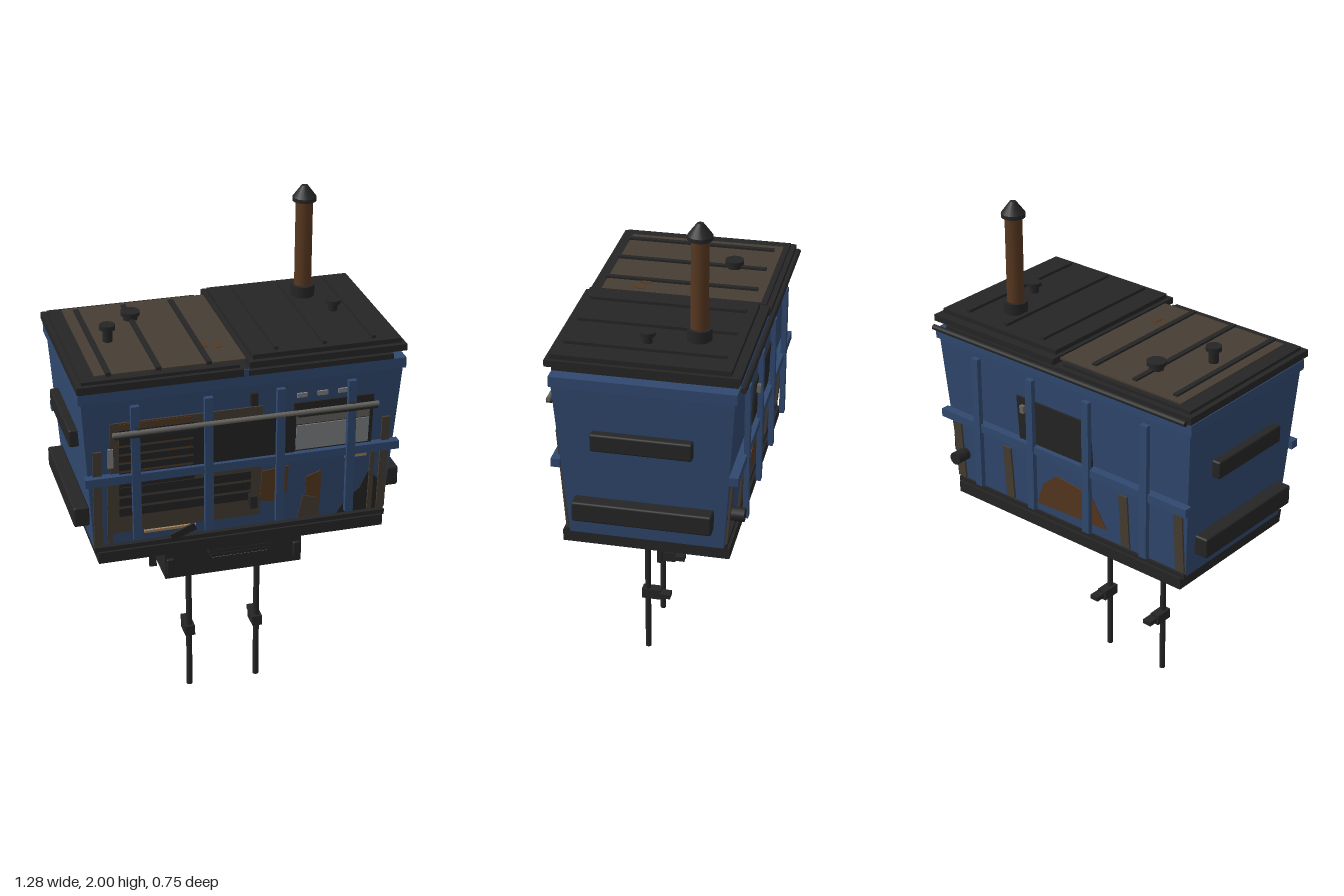
import * as THREE from 'three';
import { RoundedBoxGeometry } from 'three/addons/geometries/RoundedBoxGeometry.js';

const mat = (name, color) => {
  const m = new THREE.MeshStandardMaterial({ color });
  m.name = name;
  return m;
};

export function createModel() {
  const root = new THREE.Group();
  root.name = 'containerCabin';
  const blue = mat('blue paint', 0x30486f);
  const black = mat('black metal', 0x252525);
  const brown = mat('weathered board', 0x463d33);
  const rust = mat('rust', 0x573820);
  const grey = mat('grey glass', 0x7f8284);
  const steel = mat('dull steel', 0x66645f);
  const tan = mat('tan wood', 0xa5835a);

  const add = (name, geo, m, x = 0, y = 0, z = 0) => {
    const mesh = new THREE.Mesh(geo, m);
    mesh.name = name;
    mesh.position.set(x, y, z);
    root.add(mesh);
    return mesh;
  };
  // Box given by its limits on each axis
  const box = (name, m, x0, x1, y0, y1, z0, z1) =>
    add(name, new THREE.BoxGeometry(x1 - x0, y1 - y0, z1 - z0), m, (x0 + x1) / 2, (y0 + y1) / 2, (z0 + z1) / 2);
  const tube = (name, m, x, z, y0, y1, r0, r1 = r0, n = 16) =>
    add(name, new THREE.CylinderGeometry(r1, r0, y1 - y0, n), m, x, (y0 + y1) / 2, z);

  // Sloping walls: z of the front or back face at a height
  const wallZ = (side, y) => {
    const t = (y - 0.81) / 0.64;
    return side > 0 ? 0.28 + 0.045 * t : -0.3 - 0.042 * t;
  };
  const slope = Math.atan(0.045 / 0.64);
  // Panel lying on a sloping wall, standing out by d
  const panel = (name, m, side, x0, x1, y0, y1, d = 0.006) => {
    const y = (y0 + y1) / 2;
    const p = add(name, new THREE.BoxGeometry(x1 - x0, y1 - y0, 0.008), m, (x0 + x1) / 2, y, wallZ(side, y) + side * (d - 0.004));
    p.rotation.x = side * slope;
    return p;
  };
  // Flat ragged patch on a wall
  const patch = (name, m, side, pts, d = 0.005) => {
    const geo = new THREE.ExtrudeGeometry(new THREE.Shape(pts.map(p => new THREE.Vector2(p[0], p[1] - 1))), { depth: 0.004, bevelEnabled: false });
    const p = add(name, geo, m, 0, 1, wallZ(side, 1) + side * d - 0.004);
    p.rotation.x = side * slope;
  };

  // Tapered tub
  const tub = new THREE.BoxGeometry(1, 0.64, 1);
  const pos = tub.attributes.position;
  for (let i = 0; i < pos.count; i++) {
    const y = pos.getY(i) + 1.13;
    pos.setX(i, Math.sign(pos.getX(i)) * (y > 1.13 ? 0.61 : 0.57));
    pos.setZ(i, wallZ(Math.sign(pos.getZ(i)), y));
  }
  tub.computeVertexNormals();
  add('body', tub, blue, 0, 1.13, 0);
  box('topRim', blue, -0.62, 0.62, 1.435, 1.476, -0.35, 0.33);
  box('baseTray', black, -0.56, 0.56, 0.76, 0.805, -0.32, 0.31);
  box('baseLip', black, -0.57, 0.57, 0.8, 0.822, -0.31, 0.3);

  // Lids with ribs
  box('lidSeat', black, -0.615, 0.57, 1.476, 1.496, -0.345, 0.33);
  box('lidFrame', black, -0.625, -0.01, 1.484, 1.512, -0.36, 0.345);
  box('lidTop', black, -0.605, -0.02, 1.512, 1.524, -0.34, 0.328);
  box('lidBoard', brown, -0.55, 0.012, 1.522, 1.53, -0.32, 0.295);
  box('lidFrame', black, 0.012, 0.615, 1.512, 1.537, -0.36, 0.345);
  box('lidTop', black, 0.028, 0.6, 1.537, 1.555, -0.325, 0.325);
  for (const x of [-0.5, -0.315, -0.127]) box('lidRib', black, x - 0.01, x + 0.01, 1.525, 1.538, -0.29, 0.3);
  for (const x of [0.125, 0.31, 0.5]) box('lidRib', black, x - 0.008, x + 0.008, 1.55, 1.566, -0.29, 0.3);
  const hinge = add('hingeRod', new THREE.CylinderGeometry(0.011, 0.011, 1.22, 10), black, 0, 1.49, -0.37);
  hinge.rotation.z = Math.PI / 2;
  patch('lidSeam', blue, 1, [[-0.01, 1.476], [0.01, 1.476], [0.01, 1.51], [-0.01, 1.51]], 0.012);
  for (const [x, z] of [[-0.11, 0.14], [-0.06, 0.155]]) box('lidRust', rust, x - 0.012, x + 0.012, 1.53, 1.532, z - 0.02, z + 0.02);

  // Chimney and vents
  tube('chimneyCollar', black, 0.37, -0.165, 1.55, 1.6, 0.046);
  tube('chimney', rust, 0.37, -0.165, 1.59, 1.95, 0.033);
  tube('chimneyCap', black, 0.37, -0.165, 1.94, 1.955, 0.046);
  tube('chimneyCone', black, 0.37, -0.165, 1.955, 2, 0.046, 0.012);
  tube('ventPipe', black, -0.44, 0.01, 1.525, 1.58, 0.019);
  tube('ventCap', black, -0.44, 0.01, 1.578, 1.596, 0.03);
  tube('roofKnob', black, -0.315, -0.165, 1.525, 1.55, 0.028);
  tube('roofKnobCap', black, -0.315, -0.165, 1.548, 1.563, 0.037);
  tube('ventPipe', black, 0.435, 0.01, 1.55, 1.585, 0.018);
  tube('ventCap', black, 0.435, 0.01, 1.583, 1.598, 0.029);

  // Outer rails on front and back
  for (const s of [1, -1]) {
    const zv = s > 0 ? 0.334 : -0.353;
    for (const x of [-0.415, -0.14, 0.135, 0.41])
      box('uprightBar', blue, x - 0.016, x + 0.016, 0.86, 1.412, zv - 0.01, zv + 0.01);
    const zh = s > 0 ? 0.318 : -0.338;
    box('crossRail', blue, -0.605, 0.605, 1.1, 1.133, zh - 0.017, zh + 0.017);
  }

  // Lifting pockets on both ends
  for (const s of [-1, 1]) {
    add('upperPocket', new RoundedBoxGeometry(0.04, 0.07, 0.375, 2, 0.008), black, s * 0.612, 1.23, -0.005);
    add('lowerPocket', new RoundedBoxGeometry(0.06, 0.08, 0.52, 2, 0.008), black, s * 0.608, 0.937, -0.005);
  }

  // Front: boarded shutter, window and glass
  panel('frontBoard', brown, 1, -0.505, 0.07, 0.87, 1.345);
  panel('shutterBack', rust, 1, -0.475, -0.2, 1.07, 1.34, 0.008);
  for (let i = 0; i < 7; i++) panel('shutterSlat', black, 1, -0.475, -0.19, 1.075 + i * 0.036, 1.102 + i * 0.036, 0.016);
  for (let i = 0; i < 3; i++) panel('lowerSlat', black, 1, -0.475, 0.03, 0.945 + i * 0.045, 0.98 + i * 0.045, 0.012);
  panel('frontWindow', black, 1, -0.195, 0.195, 1.1, 1.305, 0.016);
  panel('glassFrame', black, 1, 0.19, 0.5, 1.13, 1.34, 0.01);
  panel('frontGlass', grey, 1, 0.2, 0.485, 1.14, 1.245, 0.014);
  panel('upperGlass', steel, 1, 0.2, 0.485, 1.25, 1.3, 0.014);
  for (const x of [0.2, 0.28, 0.36]) panel('glassTab', grey, 1, x, x + 0.04, 1.36, 1.378);
  panel('sidePeg', grey, 1, -0.515, -0.495, 1.16, 1.24, 0.01);
  for (const y of [0.95, 1.38]) box('latch', black, 0.02, 0.048, y - 0.025, y + 0.025, 0.29, 0.338);
  panel('sill', tan, 1, -0.38, -0.18, 0.858, 0.868, 0.012);
  panel('sill', tan, 1, 0.4, 0.485, 1.075, 1.09, 0.012);
  const lever = panel('bentLever', black, 1, -0.28, -0.18, 0.828, 0.858, 0.02);
  lever.rotation.z = 0.4;
  const rail = add('awningRail', new THREE.CylinderGeometry(0.009, 0.009, 1.01, 10), steel, 0, 1.32, 0.365);
  rail.rotation.z = Math.PI / 2;
  for (const s of [-1, 1]) {
    box('railStrip', black, s * 0.345 - 0.155, s * 0.345 + 0.155, 1.304, 1.312, 0.352, 0.374);
    box('railBracket', black, s * 0.41 - 0.008, s * 0.41 + 0.008, 1.305, 1.33, 0.31, 0.365);
  }

  // Worn patches and corner boards
  patch('rustPatch', rust, 1, [[0.07, 0.93], [0.12, 0.92], [0.175, 0.95], [0.18, 1.07], [0.075, 1.06]]);
  patch('rustPatch', rust, 1, [[0.25, 0.9], [0.31, 0.88], [0.31, 1.03], [0.25, 1.01]]);
  patch('wornPatch', brown, 1, [[0.22, 0.83], [0.31, 0.83], [0.3, 0.91], [0.24, 0.93]], 0.009);
  patch('darkPatch', black, 1, [[0.38, 0.825], [0.54, 0.825], [0.55, 0.95], [0.5, 1.0], [0.47, 0.93], [0.42, 0.89]]);
  for (const s of [-1, 1]) {
    panel('cornerBoard', brown, 1, s * 0.555 - 0.016, s * 0.555 + 0.016, 0.83, 1.235, 0.012);
    panel('cornerStrip', brown, 1, s * 0.51 - 0.009, s * 0.51 + 0.009, 0.83, 1.1, 0.012);
    panel('backCornerBoard', brown, -1, s * 0.55 - 0.02, s * 0.55 + 0.02, 0.83, 1.12, 0.012);
    panel('backStrip', brown, -1, s * 0.29 - 0.02, s * 0.29 + 0.02, 0.83, 1.06, 0.01);
  }

  // Back window, rust and drain spout
  panel('backWindow', black, -1, -0.15, 0.21, 1.105, 1.32, 0.014);
  box('backLatch', steel, 0.165, 0.185, 1.26, 1.29, -0.36, -0.335);
  patch('backRust', rust, -1, [[-0.2, 0.87], [0.15, 0.86], [0.11, 0.96], [0.04, 1.02], [-0.13, 1.0]]);
  const spout = add('drainSpout', new THREE.CylinderGeometry(0.026, 0.026, 0.07, 14), black, 0.53, 0.94, -0.335);
  spout.rotation.x = Math.PI / 2;

  // Underslung box, steps and legs
  box('underBox', black, -0.275, 0.275, 0.57, 0.765, 0, 0.18);
  for (const s of [-1, 1]) {
    box('underBracket', black, s * 0.284 - 0.014, s * 0.284 + 0.014, 0.53, 0.765, -0.005, 0.012);
    add('boxLug', new RoundedBoxGeometry(0.03, 0.07, 0.02, 2, 0.006), black, s * 0.255, 0.625, 0.182);
  }
  for (let i = 0; i < 3; i++)
    box('step', black, -0.13 + i * 0.006, 0.125 - i * 0.006, 0.735 - i * 0.018, 0.749 - i * 0.018, 0.17, 0.285 - i * 0.004);
  box('stepTrim', tan, -0.11, 0.11, 0.69, 0.698, 0.17, 0.265);
  for (const x of [-0.16, 0.12]) {
    tube('leg', black, x, 0.09, 0, 0.58, 0.012, 0.012, 10);
    tube('legSocket', black, x, 0.09, 0.545, 0.58, 0.019, 0.019, 10);
    box('legClamp', black, x - 0.02, x + 0.02, 0.245, 0.287, 0.035, 0.112);
    box('clampHandle', black, x - 0.012, x + 0.026, 0.256, 0.276, -0.005, 0.04);
  }
  return root;
}
